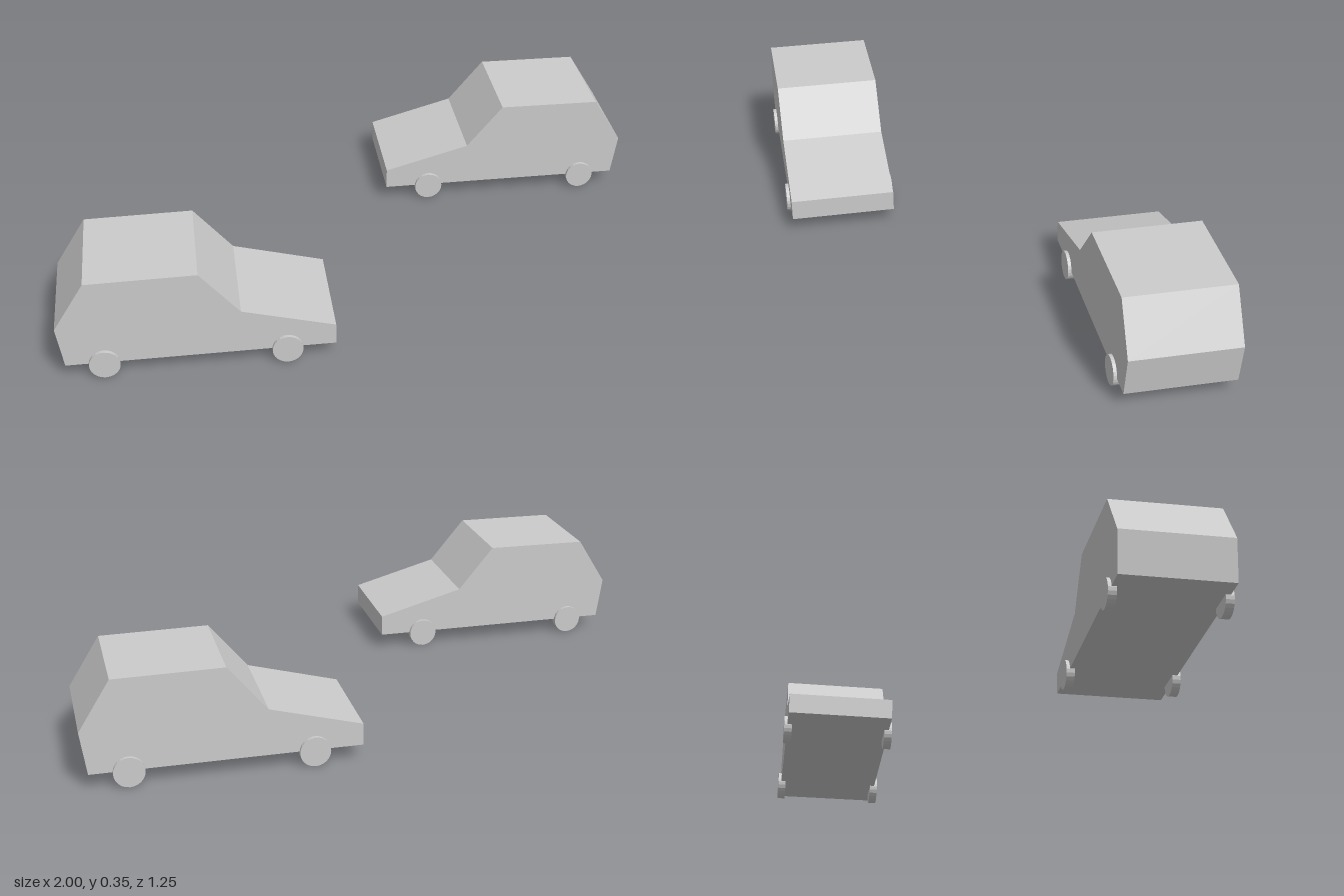
import * as THREE from 'three';

const material = new THREE.MeshStandardMaterial({ color: 0xcccccc, flatShading: true });
const WIDTH = 0.355, WHEEL_RADIUS = 0.048, WHEEL_WIDTH = 0.027;

// Side outline of the hatchback, nose towards +x
const outline = [
  [-0.98, 0.05], [-0.147, 0.05], [-0.147, 0.12], [-0.438, 0.2],
  [-0.561, 0.348], [-0.902, 0.345], [-1, 0.187],
].map(([x, y]) => new THREE.Vector2(x, y));

function createCar(name) {
  const car = new THREE.Group();
  car.name = name;

  // Body: extruded outline centred on its width
  const bodyGeometry = new THREE.ExtrudeGeometry(new THREE.Shape(outline), { depth: WIDTH, bevelEnabled: false });
  bodyGeometry.translate(0, 0, -WIDTH / 2);
  const body = new THREE.Mesh(bodyGeometry, material);
  body.name = 'body';
  car.add(body);

  // Wheels: thin discs standing slightly proud of the sides
  const wheelGeometry = new THREE.CylinderGeometry(WHEEL_RADIUS, WHEEL_RADIUS, WHEEL_WIDTH, 24);
  wheelGeometry.rotateX(Math.PI / 2);
  for (const [end, x] of [['rear', -0.861], ['front', -0.299]]) {
    for (const [side, sign] of [['Left', -1], ['Right', 1]]) {
      const wheel = new THREE.Mesh(wheelGeometry, material);
      wheel.name = `${end}${side}Wheel`;
      wheel.position.set(x, WHEEL_RADIUS, sign * 0.175);
      car.add(wheel);
    }
  }
  return car;
}

export function createModel() {
  const model = new THREE.Group();
  model.name = 'twoCars';

  // Two identical cars in opposite lanes, the second turned half round
  const nearCar = createCar('nearCar');
  nearCar.position.z = 0.438;
  const farCar = createCar('farCar');
  farCar.position.z = -0.438;
  farCar.rotation.y = Math.PI;
  model.add(nearCar, farCar);
  return model;
}
